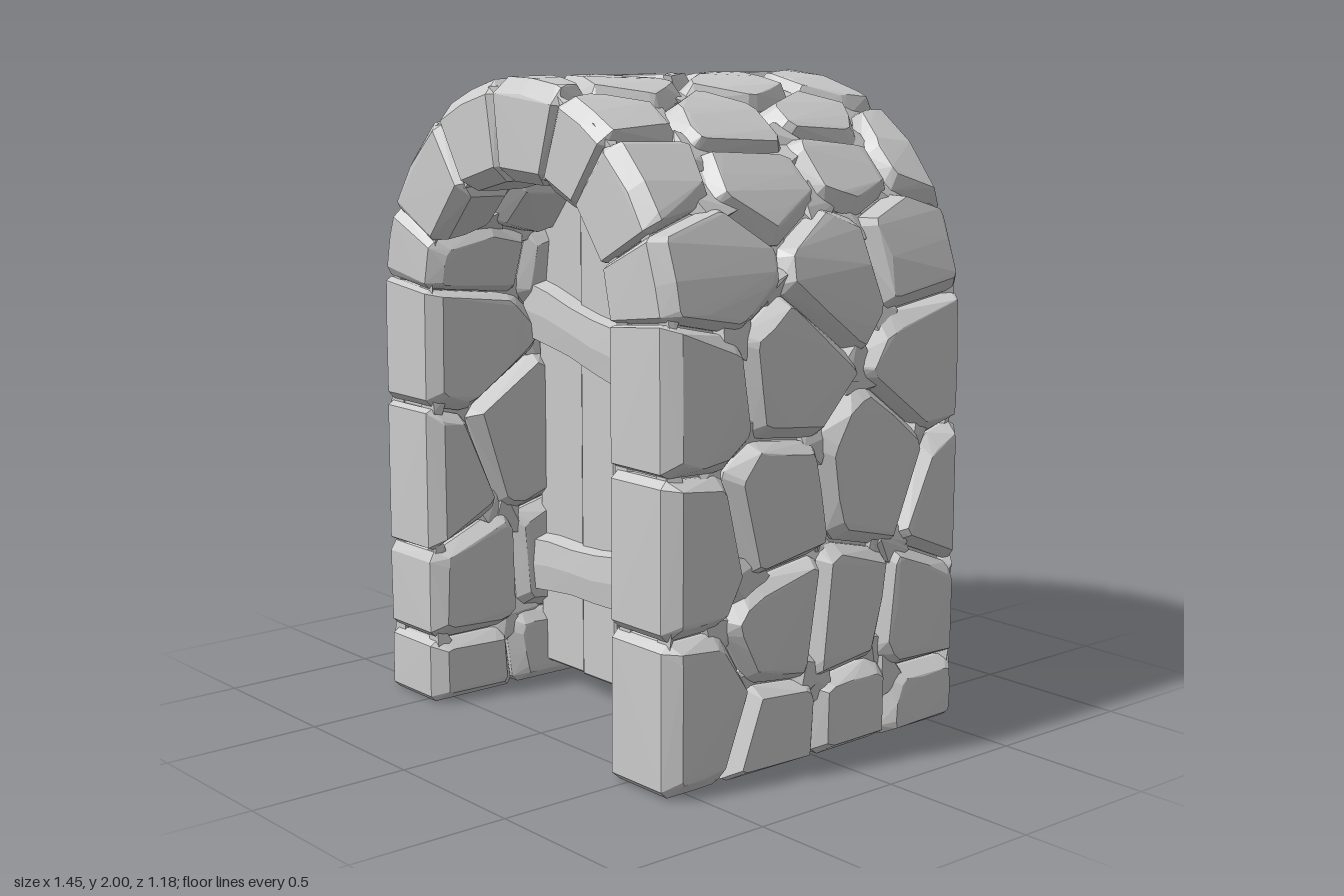
import * as THREE from 'three';
import { ConvexGeometry } from 'three/addons/geometries/ConvexGeometry.js';

const H = 1.275;            // height where the arch springs
const R_OUT = 0.725;        // outer radius / half width
const R_IN = 0.42;          // opening radius / half width
const DEPTH = 0.593;        // half depth
const LENGTH = 2 * H + Math.PI * R_OUT;

const stoneMat = new THREE.MeshStandardMaterial({ color: 0xcccccc, flatShading: true });

let seed = 7;
const rand = (a = 0, b = 1) => {
  seed = (seed * 16807) % 2147483647;
  return a + (b - a) * (seed / 2147483647);
};

// Wraps (distance along the arch, depth, distance from its axis) into space;
// the opening is a little squarer than a half circle
function wrap(s, z, t) {
  if (s < H) return new THREE.Vector3(t, s, z);
  if (s > LENGTH - H) return new THREE.Vector3(-t, LENGTH - s, z);
  const a = (s - H) / R_OUT;
  const r = t + 0.08 * (R_OUT - t) * Math.sin(2 * a) ** 2;
  return new THREE.Vector3(r * Math.cos(a), H + r * Math.sin(a), z);
}

function add(parent, geometry, name) {
  const mesh = new THREE.Mesh(geometry, stoneMat);
  mesh.name = name;
  parent.add(mesh);
  return mesh;
}

// Stone centres: [y, z] up one side wall, [x, z] over the roof
const WALL = [
  [0.22, 0.46], [0.7, 0.47], [1.13, 0.45], [1.5, 0.36], [1.78, 0.47],
  [0.1, 0.16], [0.42, 0.13], [0.78, 0.18], [1.18, 0.13], [1.73, 0.12],
  [0.1, -0.14], [0.4, -0.1], [0.85, -0.21],
  [1.45, -0.08], [0.36, -0.42], [0.06, -0.42], [0.71, -0.56], [1.16, -0.44],
  [1.5, -0.39], [1.77, -0.24], [1.79, -0.52],
];
const ROOF = [
  [-0.17, -0.35], [0.14, -0.14], [-0.29, 0.16], [0.12, 0.29], [0.16, -0.5],
  [0.41, 0.1], [0.42, -0.27], [0.36, 0.47], [-0.42, -0.14], [-0.25, 0.5],
  [0.06, 0.54], [-0.44, -0.48], [-0.07, 0.03],
];

function stoneCentres() {
  const list = ROOF.map(([x, z]) => [H + R_OUT * Math.acos(x / R_OUT), z]);
  for (const [y, z] of WALL) {
    const s = y < H ? y : H + R_OUT * Math.asin((y - H) / R_OUT);
    list.push([s, z], [LENGTH - s + rand(-0.03, 0.03), -z]);
  }
  return list;
}

// Cell around centre i: the wall sheet clipped halfway to every other centre
function cell(centres, i) {
  let poly = [[0, -DEPTH], [LENGTH, -DEPTH], [LENGTH, DEPTH], [0, DEPTH]];
  const [cs, cz] = centres[i];
  centres.forEach(([s, z], j) => {
    if (j === i) return;
    const side = (p) => (p[0] - (s + cs) / 2) * (s - cs) + (p[1] - (z + cz) / 2) * (z - cz);
    const next = [];
    poly.forEach((p, k) => {
      const q = poly[(k + 1) % poly.length];
      const a = side(p), b = side(q);
      if (a <= 0) next.push(p);
      if (a * b < 0) next.push([p[0] + (q[0] - p[0]) * a / (a - b), p[1] + (q[1] - p[1]) * a / (a - b)]);
    });
    poly = next;
  });
  return poly;
}

// One stone running through the wall thickness, corners knocked off, faces bevelled
function stoneGeometry(poly) {
  const n = poly.length;
  const c = [0, 1].map((k) => poly.reduce((sum, p) => sum + p[k], 0) / n);
  const outline = poly.flatMap((p, k) => {
    const q = poly[(k + 1) % n];
    const cut = Math.min(0.4, rand(0.01, 0.03) / Math.hypot(q[0] - p[0], q[1] - p[1]));
    return [cut, rand(0.4, 0.6), 1 - cut].map((f) => [p[0] + (q[0] - p[0]) * f, p[1] + (q[1] - p[1]) * f]);
  });
  // distance from the axis, inset of the outline, extra bevel at the arch ends
  const layers = [
    [R_OUT, 0.045, 0.045], [R_OUT - 0.045, 0.005, 0],
    [R_IN + 0.045, 0.005, 0], [R_IN + 0.003, 0.045, 0.045],
  ];
  const points = [];
  for (const [t, inset, bevel] of layers) {
    for (const [s, z] of outline) {
      const d = Math.hypot(s - c[0], z - c[1]);
      const f = Math.max(0.6, 1 - inset * rand(0.7, 1.3) / d);
      const end = DEPTH - bevel;
      const pz = THREE.MathUtils.clamp(c[1] + (z - c[1]) * f, -end, end);
      points.push(wrap(c[0] + (s - c[0]) * f, pz, t - rand(0, 0.006)));
    }
  }
  return new ConvexGeometry(points);
}

// Small chip wedged where stones meet
function chipGeometry(s, z, t) {
  const points = [];
  for (let k = 0; k < 12; k++) {
    const a = k * 2.4, r = rand(0.05, 0.09);
    const cz = THREE.MathUtils.clamp(z + r * Math.sin(a), -DEPTH + 0.025, DEPTH - 0.025);
    points.push(wrap(s + r * Math.cos(a), cz, t + rand(-0.045, 0.045)));
  }
  return new ConvexGeometry(points);
}

function archCore() {
  const o = 0.665, i = 0.475, y = 0.03;
  const shape = new THREE.Shape();
  shape.moveTo(-o, y);
  shape.lineTo(-o, H);
  shape.absarc(0, H, o, Math.PI, 0, true);
  shape.lineTo(o, y);
  shape.lineTo(i, y);
  shape.lineTo(i, H);
  shape.absarc(0, H, i, 0, Math.PI, false);
  shape.lineTo(-i, y);
  return new THREE.ExtrudeGeometry(shape, { depth: 1.1, bevelEnabled: false, curveSegments: 16 }).translate(0, 0, -0.55);
}

function plankGeometry(x0, x1, depth) {
  const b = 0.007;
  const shape = new THREE.Shape();
  shape.moveTo(x0 + b, 0.075);
  shape.lineTo(x1 - b, 0.075);
  for (let k = 0; k <= 4; k++) {
    const x = x1 - b + (x0 - x1 + 2 * b) * k / 4;
    shape.lineTo(x, H + Math.sqrt(0.48 ** 2 - x * x));
  }
  return new THREE.ExtrudeGeometry(shape, {
    depth: depth - 2 * b, bevelSize: b, bevelThickness: b, bevelSegments: 1,
  }).translate(0, 0, b - depth / 2);
}

// Rough beam through the door: thinner toward its faces, tilted and uneven
function beamGeometry(y, slope, height) {
  const geo = new THREE.BoxGeometry(0.92, height, 0.42, 8, 2, 4);
  const p = geo.attributes.position;
  for (let i = 0; i < p.count; i++) {
    const x = p.getX(i), v = p.getY(i), z = p.getZ(i);
    const edge = Math.abs(z) > 0.2 ? 0.72 : 1;
    const wave = 0.006 * Math.sin(x * 15 + Math.sign(v));
    p.setXYZ(i, x, y + slope * x + v * edge + wave, z * (Math.abs(v) > 0.01 ? 0.96 : 1));
  }
  geo.computeVertexNormals();
  return geo;
}

export function createModel() {
  const model = new THREE.Group();
  model.name = 'stoneDoorway';

  // Stone arch
  const arch = new THREE.Group();
  arch.name = 'stoneArch';
  model.add(arch);
  add(arch, archCore(), 'archCore');
  const centres = stoneCentres();
  const joints = new Map();
  centres.forEach((_, i) => {
    const poly = cell(centres, i);
    add(arch, stoneGeometry(poly), 'stone');
    for (const [s, z] of poly) joints.set(`${s.toFixed(2)},${z.toFixed(2)}`, [s, z]);
  });

  // Chips in the joints, outside and inside
  for (const [s, z] of joints.values()) {
    if (s < 0.12 || s > LENGTH - 0.12) continue;
    add(arch, chipGeometry(s, z, R_OUT - 0.065), 'chip');
    add(arch, chipGeometry(s, z, R_IN + 0.065), 'chip');
  }

  // Door of planks
  const door = new THREE.Group();
  door.name = 'door';
  model.add(door);
  const edges = [-0.45, -0.22, -0.05, 0.07, 0.2, 0.45];
  for (let i = 0; i < edges.length - 1; i++) {
    add(door, plankGeometry(edges[i], edges[i + 1], 0.31 + 0.02 * (i % 2)), 'plank');
  }
  add(door, beamGeometry(0.42, 0.04, 0.22), 'lowerBeam');
  add(door, beamGeometry(1.135, -0.24, 0.23), 'upperBeam');

  // Ring handle on the back
  const handle = new THREE.Group();
  handle.name = 'handle';
  handle.position.set(0.29, 0.66, -0.17);
  door.add(handle);
  add(handle, new THREE.BoxGeometry(0.1, 0.13, 0.04), 'handlePlate').position.y = 0.02;
  add(handle, new THREE.CylinderGeometry(0.022, 0.022, 0.08, 6).rotateX(Math.PI / 2), 'handlePin').position.set(0, 0.04, -0.03);
  add(handle, new THREE.TorusGeometry(0.048, 0.015, 5, 10), 'handleRing').position.set(0, -0.005, -0.045);

  return model;
}
